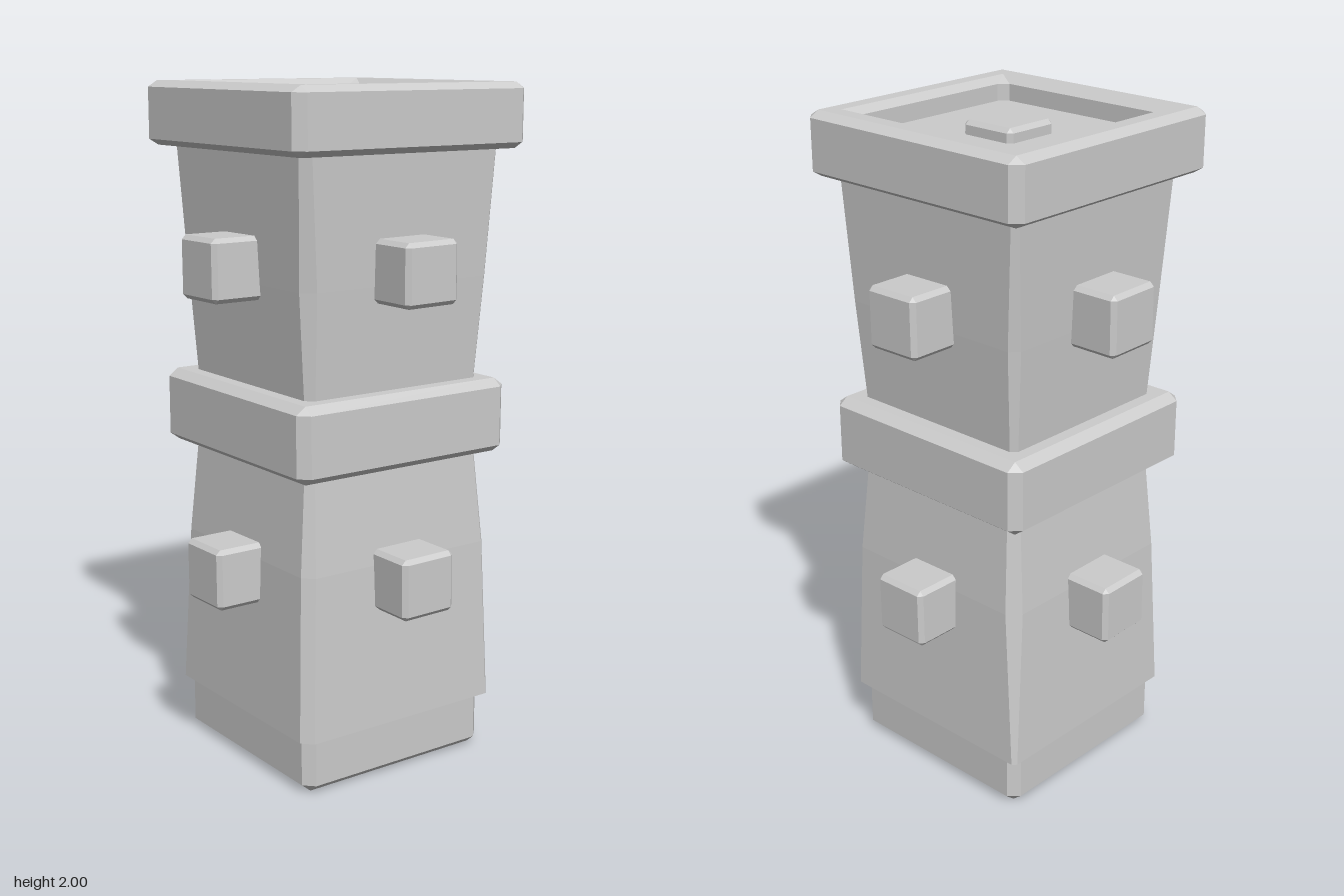
import * as THREE from 'three';

const material = new THREE.MeshStandardMaterial({ color: 0xcccccc, flatShading: true });

// Square outline with cut corners; one cut size, or one per corner.
function outline([y, half, cut]) {
  const points = [];
  for (let k = 0; k < 4; k++) {
    const c = Array.isArray(cut) ? cut[k] : cut;
    for (let [x, z] of [[half - c, half], [half, half - c]]) {
      for (let r = 0; r < k; r++) [x, z] = [z, -x];
      points.push([x, y, z]);
    }
  }
  return points;
}

// Skin a stack of square rings [y, half width, corner cut], closed at both ends.
function loft(rings) {
  const loops = rings.map(outline), pos = [];
  const tri = (a, b, c) => pos.push(...a, ...b, ...c);
  for (let i = 0; i < loops.length - 1; i++) {
    for (let j = 0; j < 8; j++) {
      const n = (j + 1) % 8, lo = loops[i], hi = loops[i + 1];
      tri(lo[j], lo[n], hi[n]);
      tri(lo[j], hi[n], hi[j]);
    }
  }
  const first = loops[0], last = loops[loops.length - 1];
  for (let j = 1; j < 7; j++) {
    tri(first[0], first[j + 1], first[j]);
    tri(last[0], last[j], last[j + 1]);
  }
  const geometry = new THREE.BufferGeometry();
  geometry.setAttribute('position', new THREE.Float32BufferAttribute(pos, 3));
  geometry.computeVertexNormals();
  return geometry;
}

// Rings of a box with all edges bevelled.
const bevelled = (y0, y1, half, b, by = b) => [
  [y0, half - b, 0], [y0 + by, half, b], [y1 - by, half, b], [y1, half - b, 0],
];

export function createModel() {
  const model = new THREE.Group();
  model.name = 'pillar';
  const add = (name, geometry, parent = model) => {
    const mesh = new THREE.Mesh(geometry, material);
    mesh.name = name;
    parent.add(mesh);
    return mesh;
  };

  // Foot with a recess underneath
  add('foot', loft([
    [0.07, 0.22, 0.025], [0.02, 0.22, 0.025], [0, 0.245, 0], [0, 0.295, 0],
    [0.025, 0.325, 0.03], [0.2, 0.325, 0.03],
  ]));

  // Tapered shafts with unevenly worn corners
  add('lowerShaft', loft([
    [0.165, 0.342, [0.015, 0.012, 0.02, 0.03]],
    [0.65, 0.324, [0.012, 0.035, 0.025, 0.03]],
    [0.98, 0.298, [0.01, 0.025, 0.02, 0.02]],
  ]));
  add('upperShaft', loft([
    [1.1, 0.296, [0.01, 0.015, 0.02, 0.02]],
    [1.45, 0.318, [0.012, 0.025, 0.025, 0.035]],
    [1.85, 0.338, [0.012, 0.015, 0.02, 0.025]],
  ]));

  // Collar around the waist
  add('collar', loft(bevelled(0.93, 1.15, 0.367, 0.03, 0.022)));

  // Cap with a sunken top
  add('cap', loft([
    ...bevelled(1.815, 2, 0.398, 0.03, 0.018),
    [2, 0.323, 0], [1.98, 0.3, 0.025], [1.93, 0.3, 0.025],
  ]));

  // Blocks: one on the cap, and one per side on each shaft
  const block = loft(bevelled(-0.09, 0.09, 0.09, 0.013));
  add('topBlock', block).position.y = 1.88;
  for (const [row, y] of [['lowerBlocks', 0.608], ['upperBlocks', 1.495]]) {
    const group = new THREE.Group();
    group.name = row;
    model.add(group);
    for (let k = 0; k < 4; k++) {
      const side = new THREE.Group();
      side.name = 'side' + (k + 1);
      side.rotation.y = k * Math.PI / 2;
      group.add(side);
      const mesh = add('block', block, side);
      mesh.position.set(0, y, 0.376);
      mesh.rotation.z = 0.012;
    }
  }
  return model;
}
